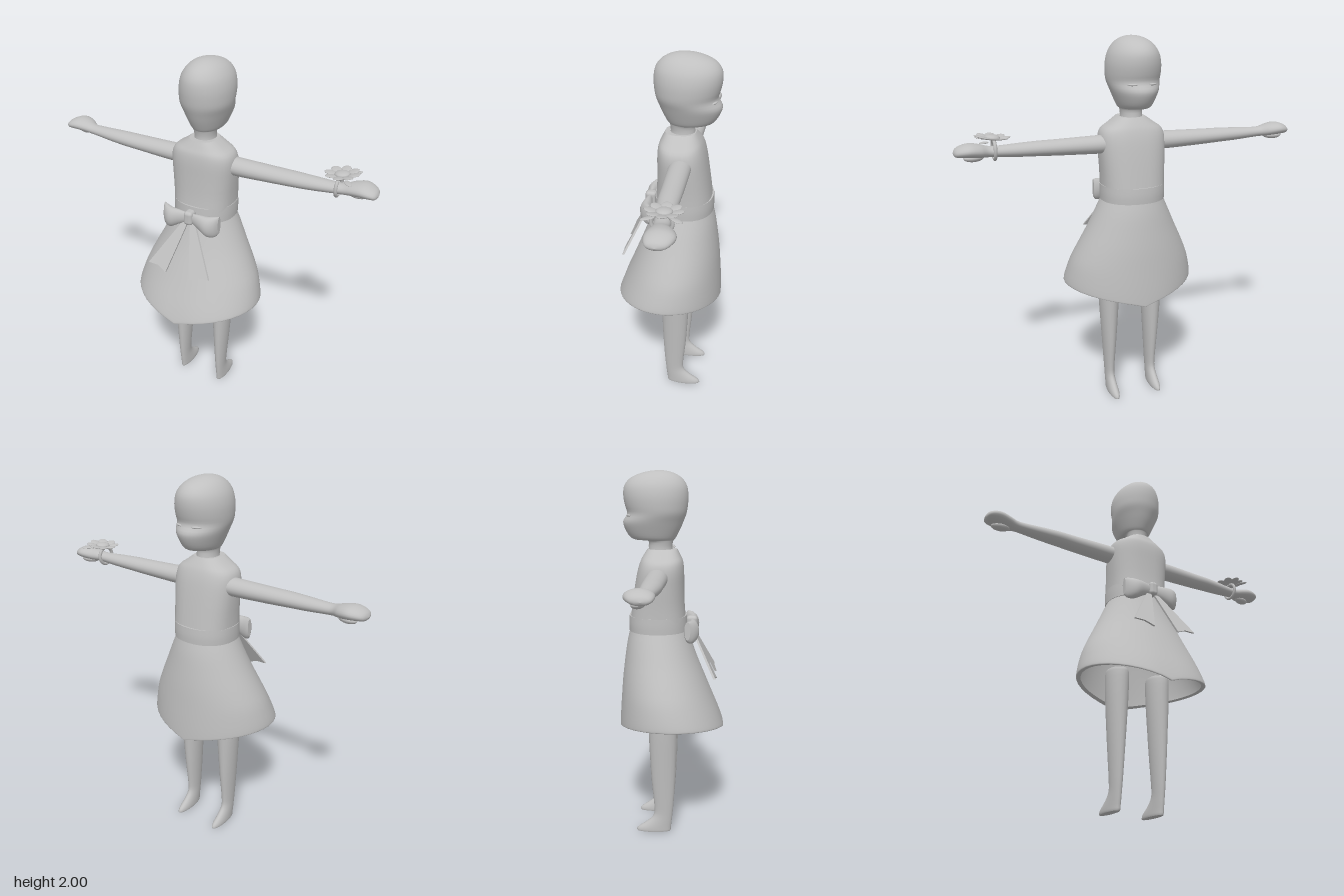
import * as THREE from 'three';
import { RoundedBoxGeometry } from 'three/addons/geometries/RoundedBoxGeometry.js';

const clay = new THREE.MeshStandardMaterial({ color: 0xc0c0c0, side: THREE.DoubleSide });
clay.name = 'light grey';

// Catmull-Rom subdivision of rows of numbers
function smooth(rows, k = 3) {
  const out = [];
  for (let i = 0; i < rows.length - 1; i++) {
    const b = rows[i], c = rows[i + 1], a = rows[i - 1] || b, d = rows[i + 2] || c;
    for (let s = 0; s < k; s++) {
      const t = s / k;
      out.push(b.map((p, j) => 0.5 * (2 * p + (c[j] - a[j]) * t
        + (2 * a[j] - 5 * p + 4 * c[j] - d[j]) * t * t
        + (3 * p - a[j] - 3 * c[j] + d[j]) * t * t * t)));
    }
  }
  out.push(rows[rows.length - 1]);
  return out;
}

// Skin over rounded rings; each row is [t, centreU, radiusU, centreV, radiusV]
function loft(rows, place, { n = 28, power = 2, caps = true, flip = false } = {}) {
  const pos = [], idx = [], rings = smooth(rows);
  const tri = (a, b, c) => (flip ? idx.push(a, c, b) : idx.push(a, b, c));
  const bend = (v) => Math.sign(v) * Math.abs(v) ** (2 / power);
  const ring = ([t, cu, ru, cv, rv]) => {
    for (let j = 0; j < n; j++) {
      const a = (j / n) * Math.PI * 2;
      pos.push(...place(t, cu + ru * bend(Math.cos(a)), cv + rv * bend(Math.sin(a))));
    }
  };
  rings.forEach(ring);
  for (let i = 0; i < rings.length - 1; i++) {
    for (let j = 0; j < n; j++) {
      const k = (j + 1) % n, a = i * n + j, b = i * n + k;
      tri(a, a + n, b);
      tri(b, a + n, b + n);
    }
  }
  if (caps) {
    [rings[0], rings[rings.length - 1]].forEach((r, end) => {
      const base = pos.length / 3;
      ring(r);
      pos.push(...place(r[0], r[1], r[3]));
      for (let j = 0; j < n; j++) {
        const a = base + j, b = base + ((j + 1) % n);
        if (end) tri(a, base + n, b); else tri(b, base + n, a);
      }
    });
  }
  const g = new THREE.BufferGeometry();
  g.setAttribute('position', new THREE.Float32BufferAttribute(pos, 3));
  g.setIndex(idx);
  g.computeVertexNormals();
  return g;
}

// Upright skin from rows [y, half width, z max, z min]
const upright = (rows, opts, x = 0) => loft(
  rows.map(([y, w, z1, z0]) => [y, x, w, (z1 + z0) / 2, (z1 - z0) / 2]),
  (t, u, v) => [u, t, v], opts);

// Sideways skin from rows [x, centre z, radius z, centre y, radius y]
const sideways = (rows, side, opts) => loft(rows, (t, u, v) => [side * t, v, u], { ...opts, flip: side < 0 });

export function createModel() {
  const model = new THREE.Group();
  model.name = 'girlInDress';
  const add = (name, geometry, parent = model) => {
    const m = new THREE.Mesh(geometry, clay);
    m.name = name;
    parent.add(m);
    return m;
  };
  const blob = (name, r, p, parent) => {
    const m = add(name, new THREE.SphereGeometry(1, 16, 10), parent);
    m.scale.set(...r);
    m.position.set(...p);
    return m;
  };

  // Head and neck, face towards -z
  add('head', upright([
    [1.55, 0.066, 0.01, -0.135], [1.60, 0.057, 0, -0.125], [1.64, 0.062, 0.006, -0.13],
    [1.645, 0.075, 0.012, -0.195], [1.66, 0.088, 0.022, -0.225], [1.70, 0.106, 0.043, -0.25],
    [1.74, 0.122, 0.06, -0.26], [1.78, 0.134, 0.075, -0.238], [1.82, 0.139, 0.082, -0.248],
    [1.87, 0.138, 0.085, -0.257], [1.92, 0.125, 0.078, -0.252], [1.96, 0.098, 0.052, -0.22],
    [1.985, 0.065, 0.012, -0.165], [1.997, 0.03, -0.03, -0.11], [2, 0, -0.065, -0.065],
  ], { n: 36 }));

  // Dress
  add('bodice', upright([
    [1.22, 0.168, 0.075, -0.226], [1.3, 0.17, 0.068, -0.215], [1.4, 0.176, 0.065, -0.2],
    [1.48, 0.178, 0.064, -0.185], [1.53, 0.163, 0.058, -0.17], [1.56, 0.122, 0.045, -0.155],
    [1.595, 0.073, 0.028, -0.132],
  ], { power: 2.5, n: 32 }));
  add('sash', upright([
    [1.16, 0.172, 0.084, -0.234], [1.2, 0.173, 0.083, -0.235], [1.243, 0.172, 0.081, -0.232],
  ], { power: 2.2, n: 32 }));
  const skirt = upright([
    [1.18, 0.16, 0.08, -0.225], [1.1, 0.197, 0.105, -0.245], [1.0, 0.243, 0.14, -0.26],
    [0.9, 0.29, 0.18, -0.272], [0.8, 0.33, 0.22, -0.28], [0.7, 0.353, 0.26, -0.287],
    [0.62, 0.364, 0.287, -0.291], [0.6, 0.36, 0.288, -0.289], [0.612, 0.34, 0.268, -0.27],
  ], { n: 40, caps: false });
  // The hem rises towards both sides
  const p = skirt.attributes.position;
  for (let i = 0; i < p.count; i++) {
    const f = Math.max(0, (1.18 - p.getY(i)) / 0.58);
    p.setY(i, p.getY(i) + 0.08 * f ** 3 * Math.min(1, Math.abs(p.getX(i)) / 0.36) ** 0.8);
  }
  skirt.computeVertexNormals();
  add('skirt', skirt);

  // Bow on the back of the sash
  const bow = new THREE.Group();
  bow.name = 'bow';
  model.add(bow);
  add('bowKnot', new RoundedBoxGeometry(0.05, 0.078, 0.06, 3, 0.018), bow).position.set(0, 1.195, 0.108);

  for (const s of [1, -1]) {
    const side = s > 0 ? 'left' : 'right';

    add(side + 'BowLoop', sideways([
      [0.015, 0.11, 0.012, 1.192, 0.028], [0.06, 0.113, 0.024, 1.184, 0.042],
      [0.11, 0.112, 0.036, 1.17, 0.058], [0.148, 0.098, 0.03, 1.172, 0.06],
      [0.165, 0.086, 0.016, 1.182, 0.05],
    ], s, { n: 20 }), bow);

    // Bow tail, slanting away from the skirt
    const outline = [[0.008, 1.16], [0.04, 1.16], [0.185, 0.925], [0.125, 0.925], [0.072, 0.9]];
    const tail = new THREE.ExtrudeGeometry(
      new THREE.Shape(outline.map(([x, y]) => new THREE.Vector2(s * x, y))),
      { depth: 0.012, bevelEnabled: false });
    const q = tail.attributes.position;
    for (let i = 0; i < q.count; i++) q.setZ(i, q.getZ(i) + 0.108 + (1.16 - q.getY(i)) * 0.5);
    tail.computeVertexNormals();
    add(side + 'BowTail', tail, bow);

    // Arm with mitten-like hand
    add(side + 'Arm', sideways([
      [0.12, -0.075, 0.055, 1.46, 0.048], [0.2, -0.073, 0.057, 1.458, 0.047],
      [0.4, -0.077, 0.054, 1.46, 0.041], [0.5, -0.078, 0.052, 1.462, 0.038],
      [0.6, -0.082, 0.046, 1.463, 0.034], [0.7, -0.087, 0.038, 1.465, 0.028],
      [0.75, -0.09, 0.038, 1.468, 0.027], [0.79, -0.1, 0.056, 1.476, 0.032],
      [0.84, -0.104, 0.069, 1.483, 0.034], [0.88, -0.1, 0.063, 1.48, 0.029],
      [0.91, -0.095, 0.042, 1.473, 0.019], [0.92, -0.093, 0, 1.47, 0],
    ], s, { n: 24 }));
    blob(side + 'Thumb', [0.052, 0.02, 0.03], [s * 0.825, 1.447, -0.11]).rotation.y = s * 0.25;

    // Leg and foot
    add(side + 'Leg', upright([
      [0.74, 0.05, 0.02, -0.115], [0.72, 0.058, 0.032, -0.126], [0.6, 0.056, 0.031, -0.125],
      [0.45, 0.047, 0.027, -0.119], [0.3, 0.037, 0.021, -0.11], [0.16, 0.028, 0.012, -0.097],
      [0.1, 0.025, 0.006, -0.1], [0.06, 0.026, 0.002, -0.135], [0.025, 0.028, -0.002, -0.186],
      [0.008, 0.028, -0.003, -0.198], [0, 0.026, -0.006, -0.196],
    ].reverse(), { n: 20 }, s * 0.126));

    // Narrow closed eye
    blob(side + 'Eye', [0.026, 0.006, 0.008], [s * 0.053, 1.772, -0.226]).rotation.y = -s * 0.4;
  }

  // Wrist corsage on the left arm
  const corsage = new THREE.Group();
  corsage.name = 'corsage';
  model.add(corsage);
  const band = add('wristBand', new THREE.TorusGeometry(0.047, 0.009, 8, 28), corsage);
  band.rotation.y = Math.PI / 2;
  band.position.set(0.722, 1.475, -0.088);
  const flower = new THREE.Group();
  flower.name = 'flower';
  flower.position.set(0.73, 1.53, -0.1);
  flower.rotation.z = 0.1;
  corsage.add(flower);
  blob('flowerCentre', [0.038, 0.014, 0.038], [0, 0.008, 0], flower);
  for (let i = 0; i < 8; i++) {
    const spoke = new THREE.Group();
    spoke.name = 'petal';
    spoke.rotation.y = (i / 8) * Math.PI * 2;
    flower.add(spoke);
    blob('petalBlade', [0.033, 0.005, 0.026], [0.056, 0.008, 0], spoke).rotation.z = 0.2;
  }
  for (const s of [1, -1]) {
    const leaf = blob('leaf', [0.035, 0.004, 0.016], [0.05, -0.008, s * 0.062], flower);
    leaf.rotation.y = -s * 0.9;
  }
  return model;
}
